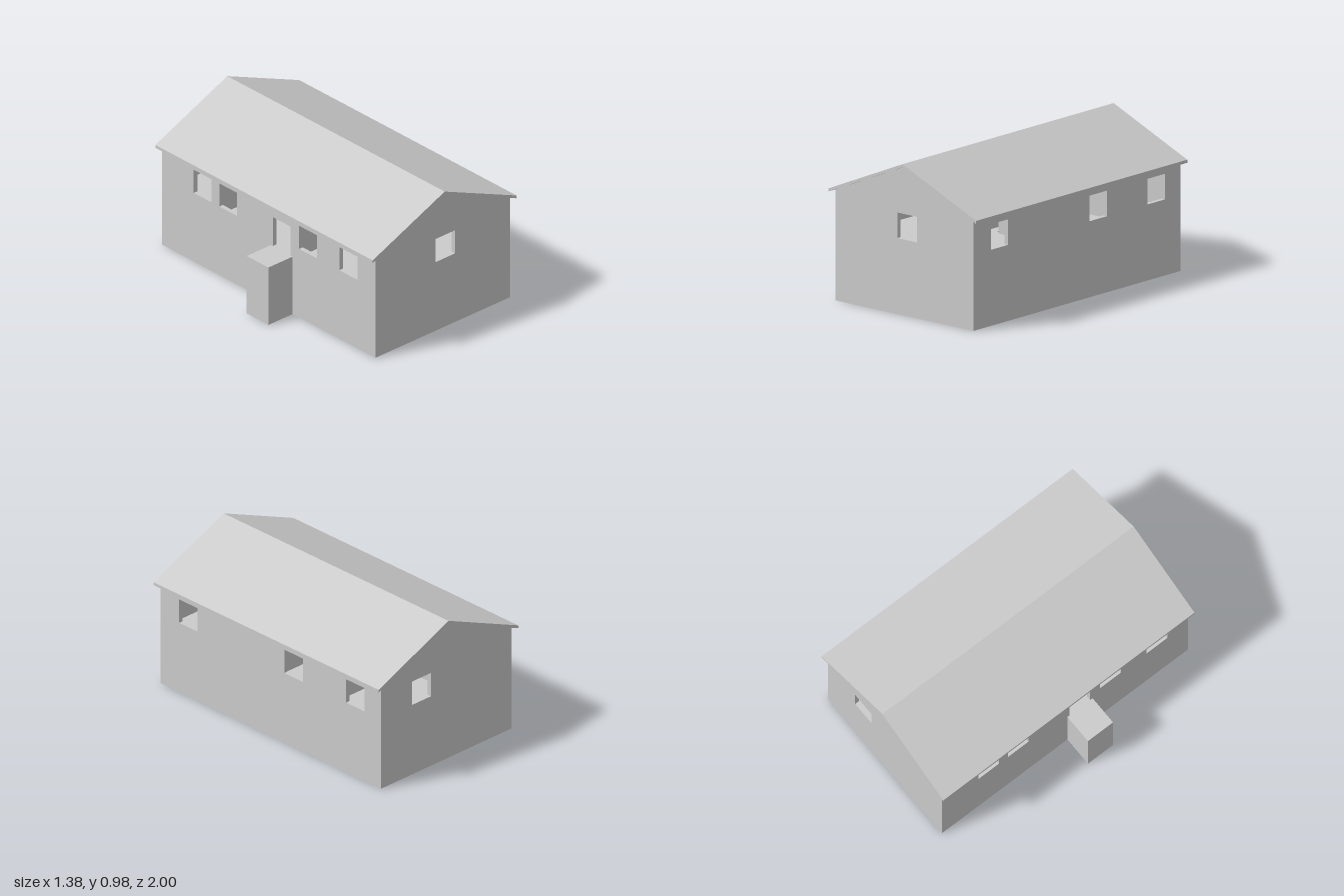
import * as THREE from 'three';

const RIGHT = -0.49, LEFT = 0.65, END = 0.98, RIDGE = 0.08;
const FLOOR = 0.41, LOW = 0.1, EAVE = 0.717, T = 0.03;
const SILL = 0.49, HEAD = 0.655, DOOR = 0.617;

const solid = new THREE.MeshStandardMaterial({ color: 0xcccccc, flatShading: true });
const sheet = new THREE.MeshStandardMaterial({ color: 0xcccccc, flatShading: true, side: THREE.DoubleSide });

const outline = (pts) => new THREE.Shape(pts.map(([a, b]) => new THREE.Vector2(a, b)));
const rect = (a0, b0, a1, b1) => [[a0, b0], [a1, b0], [a1, b1], [a0, b1]];

function holed(pts, holes = []) {
  const s = outline(pts);
  for (const h of holes) s.holes.push(outline(rect(...h)));
  return s;
}

export function createModel() {
  const house = new THREE.Group();
  house.name = 'house';

  function add(name, geometry, material = solid) {
    const m = new THREE.Mesh(geometry, material);
    m.name = name;
    house.add(m);
    return m;
  }
  const extrude = (shape, depth) => new THREE.ExtrudeGeometry(shape, { depth, bevelEnabled: false });

  // Thick wall across x, starting at z and growing towards +z
  const crossWall = (name, pts, holes, z) =>
    add(name, extrude(holed(pts, holes), T).translate(0, 0, z));
  // Thick wall along z, with its +x face at x
  const longWall = (name, pts, holes, x) =>
    add(name, extrude(holed(pts, holes), T).rotateY(-Math.PI / 2).translate(x, 0, 0));
  // Thin sheets: across x, along z, and level
  const crossSheet = (name, r, z) =>
    add(name, new THREE.ShapeGeometry(holed(rect(...r))).translate(0, 0, z), sheet);
  const longSheet = (name, r, x) =>
    add(name, new THREE.ShapeGeometry(holed(rect(...r))).rotateY(-Math.PI / 2).translate(x, 0, 0), sheet);
  const levelSheet = (name, pts, holes, y) =>
    add(name, new THREE.ShapeGeometry(holed(pts, holes)).rotateX(Math.PI / 2).translate(0, y, 0), sheet);

  // Upper gable walls with one window each
  const gable = [[RIGHT, FLOOR], [LEFT, FLOOR], [LEFT, EAVE], [RIDGE, 0.96], [RIGHT, EAVE]];
  crossWall('frontGableWall', gable, [[0.02, SILL, 0.185, HEAD]], END - T);
  crossWall('backGableWall', gable, [[0.213, SILL, 0.378, HEAD]], -END);

  // Upper long walls with windows and the entrance
  const windows = (starts) => starts.map((z) => [z, SILL, z + 0.165, HEAD]);
  const side = rect(T - END, FLOOR, END - T, EAVE);
  longWall('leftWall', side, windows([0.65, -0.285, -0.835]), LEFT);
  const entry = [[T - END, FLOOR], [0.037, FLOOR], [0.037, DOOR], [0.2, DOOR], [0.2, FLOOR],
    [END - T, FLOOR], [END - T, EAVE], [T - END, EAVE]];
  longWall('rightWall', entry, windows([-0.69, -0.455, 0.28, 0.65]), RIGHT + T);

  // Lower walls, open underneath
  for (const z of [-END, END]) crossSheet('lowerEndWall', [RIGHT, 0, LEFT, FLOOR], z);
  for (const x of [RIGHT, LEFT]) longSheet('lowerSideWall', [-END, 0, END, FLOOR], x);

  // Roof: two slopes with plumb-cut eaves
  const roof = [[-0.53, 0.70], [RIDGE, 0.96], [0.69, 0.70], [0.69, 0.72], [RIDGE, 0.98], [-0.53, 0.72]];
  add('roof', extrude(outline(roof), 2).translate(0, 0, -1));

  // Entrance landing outside the door, open underneath
  const [px, z0, z1] = [-0.695, 0.02, 0.22];
  levelSheet('porchTop', rect(px, z0, RIGHT, z1), [], FLOOR);
  longSheet('porchFront', [z0, 0, z1, FLOOR], px);
  for (const z of [z0, z1]) crossSheet('porchSide', [px, 0, RIGHT, FLOOR], z);

  // Main floor with a stairwell, and the lower floor below its front half
  const [stairTop, stairFoot] = [-0.05, 0.48];
  levelSheet('mainFloor', rect(RIGHT, -END, LEFT, END), [[stairTop, z0, stairFoot, z1]], FLOOR);
  levelSheet('lowerFloor', [[RIGHT, z0], [stairTop, z0], [stairTop, z1], [LEFT, z1], [LEFT, END], [RIGHT, END]], [], LOW);
  crossSheet('lowerPartition', [RIGHT, LOW, LEFT, FLOOR], z1);
  crossSheet('landingWall', [RIGHT, LOW, stairTop, FLOOR], z0);
  longSheet('landingEndWall', [z0, LOW, z1, FLOOR], stairTop);

  // Stairs with a straight underside
  const steps = 8, run = (stairFoot - stairTop) / steps, rise = (FLOOR - LOW) / steps;
  const flight = [[stairTop, FLOOR - rise], [stairFoot, LOW]];
  for (let i = 0; i < steps; i++) {
    const x = stairFoot - i * run, y = LOW + (i + 1) * rise;
    flight.push([x, y], [x - run, y]);
  }
  add('stairs', extrude(outline(flight), z1 - z0).translate(0, 0, z0));

  // Room partitions; doorways are notched from the floor up
  function notched(a0, a1, doors) {
    const pts = [[a0, FLOOR]];
    for (const d of doors) pts.push([d, FLOOR], [d, DOOR], [d + 0.16, DOOR], [d + 0.16, FLOOR]);
    return [...pts, [a1, FLOOR], [a1, EAVE], [a0, EAVE]];
  }
  longWall('hallPartition', notched(T - END, z0 - T, [-0.885, -0.32]), [], -0.02);
  crossWall('frontRoomPartition', notched(RIGHT + T, LEFT - T, [0.06]), [], z1);
  crossWall('stairPartition', notched(-0.02, LEFT - T, []), [], z0 - T);
  crossWall('bedroomPartition', notched(RIGHT + T, LEFT - T, []), [], -0.51);

  return house;
}
